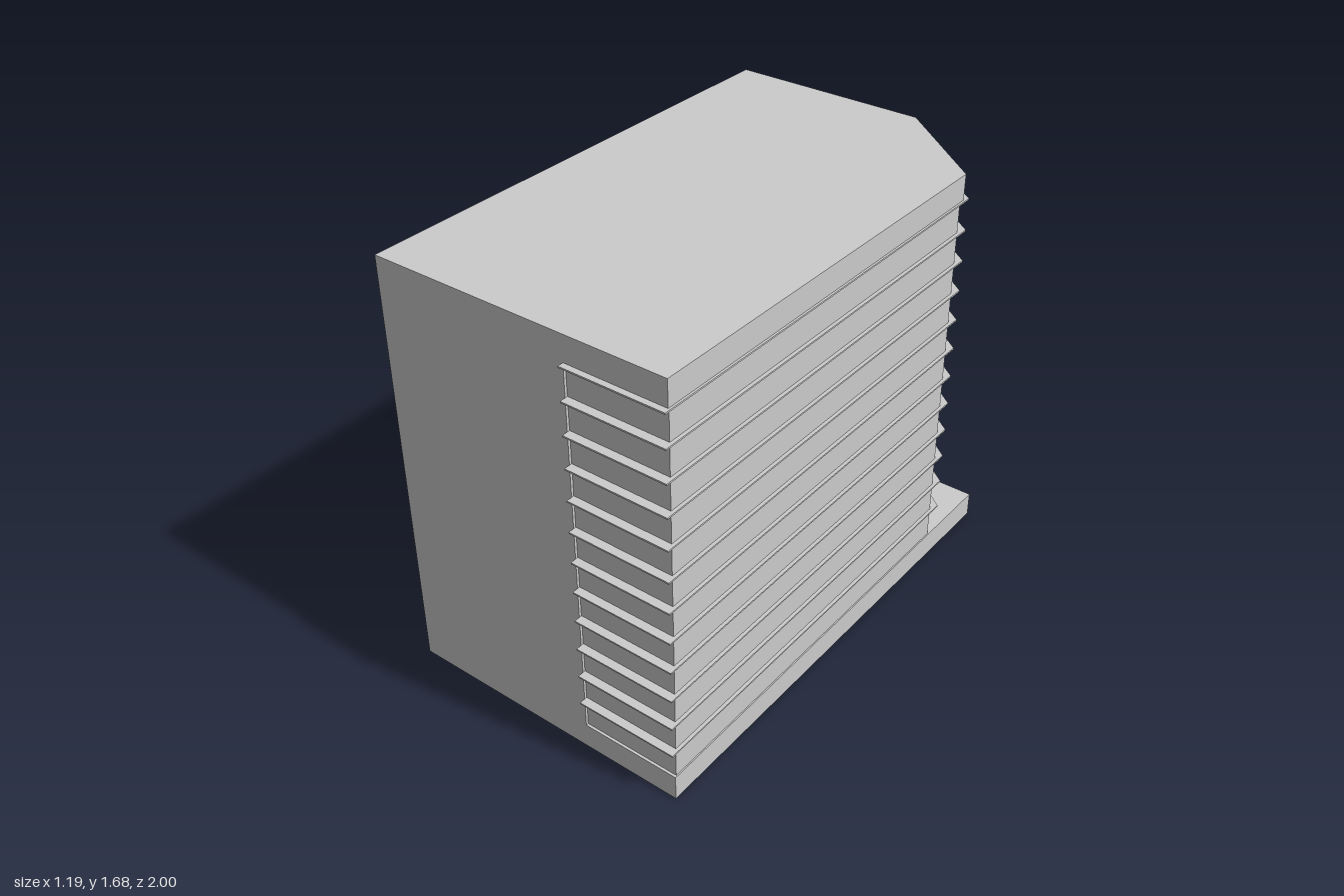
import * as THREE from 'three';

const material = new THREE.MeshStandardMaterial({ color: 0xcccccc, flatShading: true });

// Vertical prism from a plan outline of [x, z] points
function prism(name, plan, y0, y1) {
  const shape = new THREE.Shape(plan.map(([x, z]) => new THREE.Vector2(x, -z)));
  const geometry = new THREE.ExtrudeGeometry(shape, { depth: y1 - y0, bevelEnabled: false });
  geometry.rotateX(-Math.PI / 2);
  geometry.translate(0, y0, 0);
  const mesh = new THREE.Mesh(geometry, material);
  mesh.name = name;
  return mesh;
}

export function createModel() {
  const group = new THREE.Group();
  group.name = 'building';

  const left = -0.597, right = 0.584, front = 0.977, back = -0.984;
  const split = 0.19; // where the banded facade meets the blank walls
  const baseTop = 0.1, facadeTop = 1.575, roof = 1.677;

  // Rectangular plinth
  group.add(prism('base', [[left, front], [right, front], [right, back], [left, back]], 0, baseTop));

  // Blank block with the slightly recessed facade around its corner
  group.add(prism('body', [
    [left, front], [split, front], [split, 0.967], [0.579, 0.967],
    [0.579, -0.652], [split, -0.966], [split, back], [left, back],
  ], baseTop, facadeTop));

  // Parapet with a chamfered back corner
  group.add(prism('parapet', [
    [left, front], [right, front], [right, -0.667], [split, back], [left, back],
  ], facadeTop, roof));

  // Thin floor ledges wrapping the front, side and chamfer
  const ledges = new THREE.Group();
  ledges.name = 'ledges';
  const count = 12, pitch = 0.123, thickness = 0.006;
  for (let i = 0; i < count; i++) {
    const y = facadeTop - i * pitch;
    ledges.add(prism('ledge', [
      [split, 1], [0.592, 1], [0.592, -0.69], [split, -1],
    ], y - thickness / 2, y + thickness / 2));
  }
  group.add(ledges);
  return group;
}
